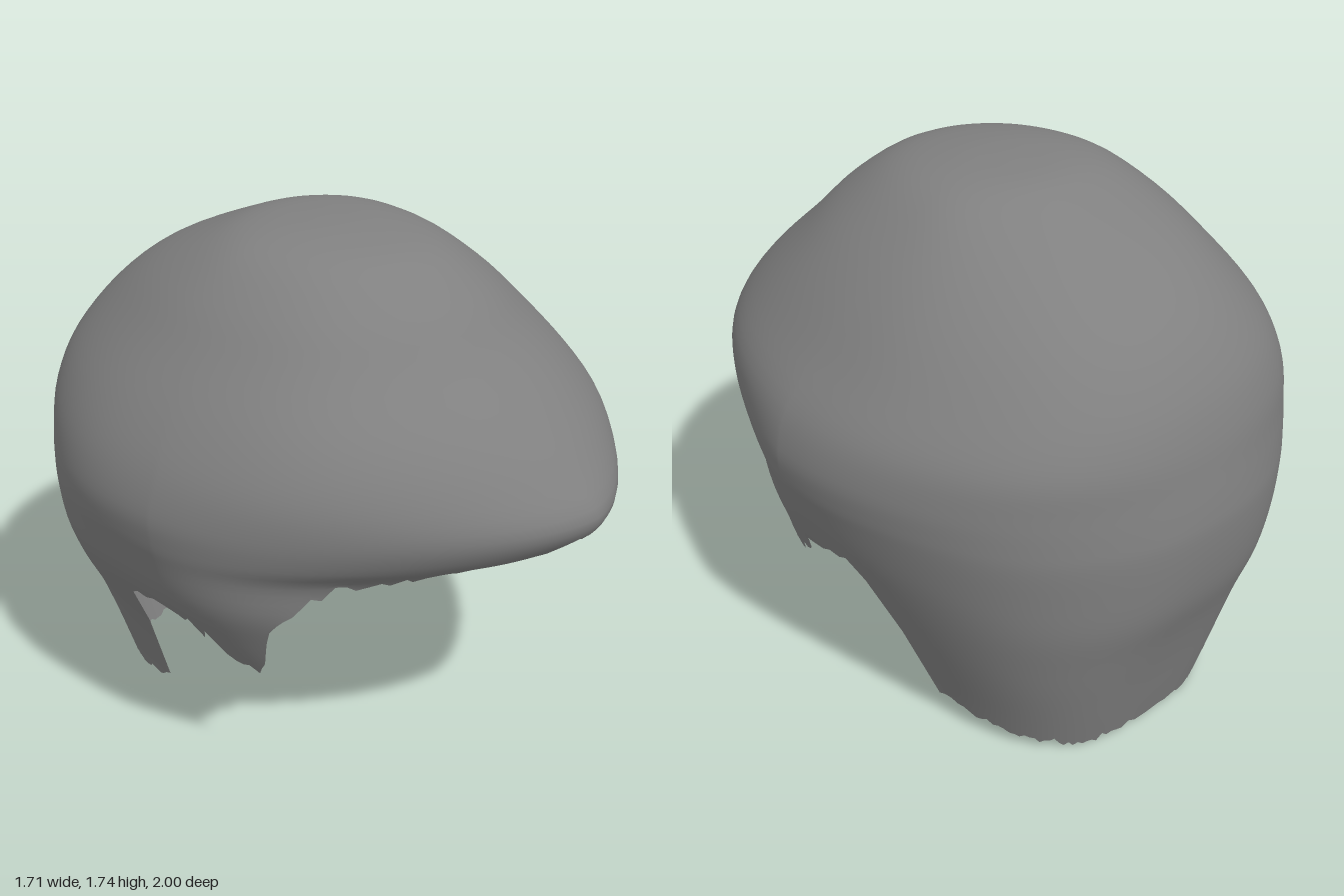
import * as THREE from 'three';

// Cross-sections from crown to nape:
// y, half width, sideways shift, front z, back z, z of widest point, front exponent, back exponent
const RINGS = [
  [1.765, 0.0, -0.02, -0.06, -0.06, -0.06, 2.0, 2.0],
  [1.755, 0.19, -0.02, 0.12, -0.24, -0.06, 2.0, 2.0],
  [1.71, 0.335, -0.025, 0.34, -0.38, -0.06, 2.0, 2.0],
  [1.6, 0.475, -0.02, 0.5, -0.62, -0.06, 2.05, 2.05],
  [1.47, 0.595, -0.01, 0.62, -0.79, -0.05, 2.05, 2.15],
  [1.32, 0.715, -0.01, 0.78, -0.9, -0.03, 2.0, 2.25],
  [1.18, 0.81, 0.0, 0.91, -0.955, 0.0, 1.8, 2.25],
  [1.05, 0.85, 0.0, 1.0, -0.98, 0.0, 1.6, 2.15],
  [0.95, 0.845, 0.0, 0.94, -0.995, 0.0, 1.6, 2.15],
  [0.87, 0.825, 0.0, 0.8, -1.0, 0.0, 1.68, 2.2],
  [0.74, 0.785, 0.0, 0.74, -0.99, 0.0, 1.85, 2.3],
  [0.6, 0.72, 0.01, 0.68, -0.965, 0.0, 2.0, 2.5],
  [0.45, 0.645, 0.025, 0.6, -0.915, 0.0, 2.3, 2.75],
  [0.3, 0.58, 0.03, 0.5, -0.87, 0.0, 2.3, 3.0],
  [0.15, 0.525, 0.03, 0.4, -0.83, -0.02, 2.3, 3.1],
  [0.0, 0.48, 0.03, 0.3, -0.79, -0.04, 2.3, 3.1],
];

// Height of the hairline along z: nape, ear notch, sideburn, brim
const HEM = [
  [-1, 0.03], [-0.78, 0.04], [-0.65, 0.08], [-0.5, 0.1], [-0.34, 0.14],
  [-0.31, 0.36], [-0.27, 0.57], [-0.2, 0.65], [-0.1, 0.68], [0, 0.65],
  [0.1, 0.57], [0.18, 0.48], [0.25, 0.49], [0.3, 0.64], [0.4, 0.78],
  [0.5, 0.87], [0.6, 0.88], [0.8, 0.9], [0.93, 0.96], [1, 0.99], [1.1, 0.99],
];

function hemHeight(z) {
  let k = 1;
  while (k < HEM.length - 1 && HEM[k][0] < z) k++;
  const [z0, y0] = HEM[k - 1], [z1, y1] = HEM[k];
  return THREE.MathUtils.mapLinear(THREE.MathUtils.clamp(z, z0, z1), z0, z1, y0, y1);
}

const curve = (i, j, k) => new THREE.CatmullRomCurve3(
  RINGS.map(r => new THREE.Vector3(r[i], r[j], r[k])), false, 'catmullrom', 0.5);
const outline = curve(0, 1, 2);
const depth = curve(3, 4, 5);
const roundness = curve(6, 7, 7);

// Point on the shell: a is the angle round from the front, u runs from crown to nape
function shellPoint(a, u) {
  const { x: y, y: w, z: shift } = outline.getPoint(u);
  const { x: zf, y: zb, z: zc } = depth.getPoint(u);
  const { x: frontPower, y: backPower } = roundness.getPoint(u);
  const s = Math.sin(a), c = Math.cos(a);
  const e = 2 / (c > 0 ? frontPower : backPower);
  const lump = 1 + 0.008 * Math.sin(a * 7 + u * 5) * Math.sin(u * Math.PI);
  const x = Math.sign(s) * Math.abs(s) ** e * w * lump;
  const z = zc + Math.abs(c) ** e * (c > 0 ? zf - zc : zb - zc);
  return new THREE.Vector3(x + shift + 0.08 * Math.max(0, c) ** 3 * u, y, z);
}

function createHairGeometry() {
  const cols = 180, rows = 60;
  let seed = 7;
  const rand = () => (seed = (seed * 16807) % 2147483647) / 2147483647;
  const pos = [], index = [], ends = [];
  for (let j = 0; j < cols; j++) {
    const a = (j / cols) * Math.PI * 2;
    // Walk down until the ragged hairline is reached
    const jag = (rand() - 0.5) * 0.05 + (rand() > 0.9 ? 0.03 : 0);
    let end = 0.3;
    for (; end < 0.995; end += 0.003) {
      const p = shellPoint(a, end);
      const ragged = p.z < -0.35 || p.z > 0.5 ? 0.5 : 1;
      if (p.y < hemHeight(p.z) + jag * ragged) break;
    }
    ends.push(end);
    // Rows stay level across columns and stop at the hairline
    for (let i = 0; i <= rows; i++) pos.push(...shellPoint(a, Math.min(end, i / rows)).toArray());
  }
  // All columns share one crown vertex; rows past a hairline collapse onto its last vertex
  const id = (i, j) => {
    const k = j % cols;
    return i === 0 ? 0 : k * (rows + 1) + Math.min(i, Math.ceil(ends[k] * rows));
  };
  const addFace = (p, q, r) => {
    if (p !== q && q !== r && r !== p) index.push(p, q, r);
  };
  for (let j = 0; j < cols; j++) {
    for (let i = 0; i < rows; i++) {
      addFace(id(i, j), id(i + 1, j), id(i, j + 1));
      addFace(id(i, j + 1), id(i + 1, j), id(i + 1, j + 1));
    }
  }
  const geo = new THREE.BufferGeometry();
  geo.setAttribute('position', new THREE.Float32BufferAttribute(pos, 3));
  geo.setIndex(index);
  geo.computeVertexNormals();
  return geo;
}

export function createModel() {
  const group = new THREE.Group();
  group.name = 'hairpiece';
  const hairGrey = new THREE.MeshStandardMaterial({ color: 0x808080, side: THREE.DoubleSide });
  hairGrey.name = 'hairGrey';
  const hair = new THREE.Mesh(createHairGeometry(), hairGrey);
  hair.name = 'hairShell';
  group.add(hair);
  return group;
}
